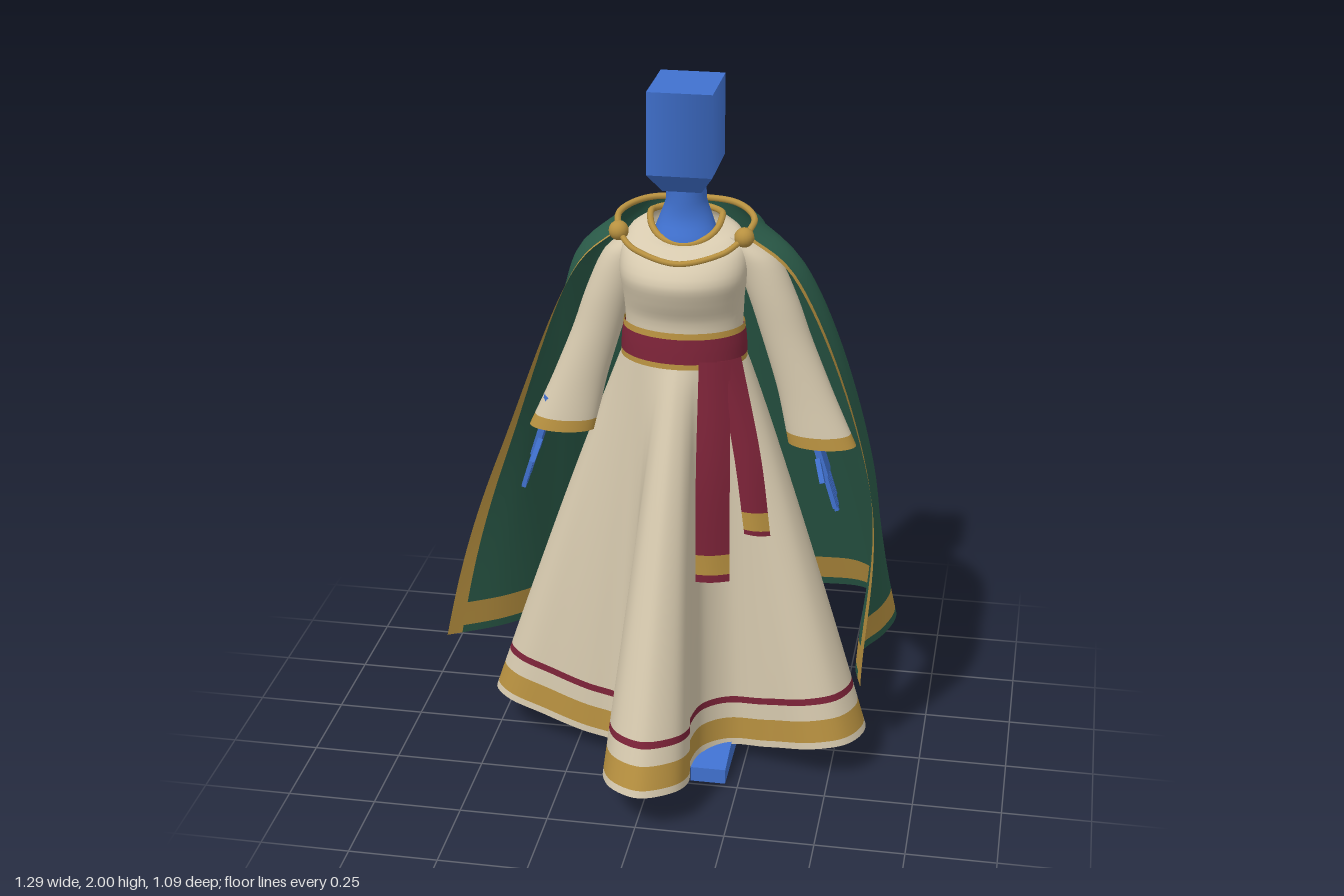
import * as THREE from 'three';

const V = (x, y, z) => new THREE.Vector3(x, y, z);
const mat = (name, color) => new THREE.MeshStandardMaterial({ name, color, side: THREE.DoubleSide });
const CX = 0.057; // middle line of the figure
const smooth = THREE.MathUtils.smoothstep;

// Values from a to b with every listed break hit exactly
function steps(breaks, n) {
  const out = [breaks[0]];
  for (let i = 1; i < breaks.length; i++) {
    const k = Math.max(1, Math.round((breaks[i] - breaks[i - 1]) * n));
    for (let j = 1; j <= k; j++) out.push(breaks[i - 1] + (breaks[i] - breaks[i - 1]) * j / k);
  }
  return out;
}

// Smooth grid surface from fn(u, v); pick(u, v) chooses the material of each cell
function surface(name, fn, us, vs, mats, pick = () => 0, closed = false) {
  const cols = closed ? us.length - 1 : us.length;
  const pos = [], cells = mats.map(() => []);
  for (const v of vs) for (let i = 0; i < cols; i++) pos.push(...fn(us[i], v).toArray());
  for (let j = 0; j < vs.length - 1; j++) {
    for (let i = 0; i < us.length - 1; i++) {
      const k = (i + 1) % cols, a = j * cols + i, b = j * cols + k;
      cells[pick((us[i] + us[i + 1]) / 2, (vs[j] + vs[j + 1]) / 2)].push(a, a + cols, b, b, a + cols, b + cols);
    }
  }
  const g = new THREE.BufferGeometry();
  g.setAttribute('position', new THREE.Float32BufferAttribute(pos, 3));
  g.setIndex(cells.flat());
  let start = 0;
  cells.forEach((c, m) => { g.addGroup(start, c.length, m); start += c.length; });
  g.computeVertexNormals();
  const mesh = new THREE.Mesh(g, mats);
  mesh.name = name;
  return mesh;
}

// Elliptical tube through rings of [y, cx, cz, rx, rz]
function ringFn(rings) {
  const c = new THREE.CatmullRomCurve3(rings.map(r => V(r[1], r[0], r[2])));
  const s = new THREE.CatmullRomCurve3(rings.map(r => V(r[3], r[4], 0)));
  return (u, v) => {
    const p = c.getPoint(v), r = s.getPoint(v), a = u * Math.PI * 2;
    return V(p.x + r.x * Math.sin(a), p.y, p.z + r.y * Math.cos(a));
  };
}

const curve = (pts, closed = false) =>
  new THREE.CatmullRomCurve3(pts.map(p => V(p[0], p[1], p[2])), closed, 'catmullrom', 0.5);
const flat = pts => pts.map(p => [p[0], 0, p[1]]);

export function createModel() {
  const model = new THREE.Group();
  const skin = mat('blue body', 0x4071cf), cream = mat('cream cloth', 0xd6c9ae);
  const green = mat('green cloth', 0x2a5a48), gold = mat('gold trim', 0xb89140);
  const wine = mat('wine sash', 0x7c2338);
  const add = (name, geo, m, x = 0, y = 0, z = 0, parent = model) => {
    const o = new THREE.Mesh(geo, m);
    o.name = name;
    o.position.set(x, y, z);
    parent.add(o);
    return o;
  };
  const tube = (name, pts, r, closed = false) =>
    add(name, new THREE.TubeGeometry(curve(pts, closed), 48, r, 8, closed), gold);
  const around = steps([0, 1], 48);

  // Softly shaded head block with tapered chin, and flared neck
  const block = (bottom, h) => new THREE.CylinderGeometry(Math.SQRT1_2, Math.SQRT1_2 * bottom, h, 4, 1)
    .rotateY(Math.PI / 4).scale(0.175, 1, 0.22);
  add('head', block(1, 0.225), skin, CX, 1.8875, 0.02);
  add('chin', block(0.6, 0.055), skin, CX, 1.7475, 0.02);
  model.add(surface('neck', ringFn([[1.74, CX, 0.012, 0.053, 0.058], [1.68, CX, 0.01, 0.055, 0.057],
    [1.63, CX, 0.01, 0.072, 0.06], [1.58, CX, 0.022, 0.09, 0.07], [1.52, CX, 0.025, 0.1, 0.08]]),
  around, steps([0, 1], 12), [skin], undefined, true));

  // Bodice with a dipping neckline
  const bodyRings = ringFn([[1.635, CX, 0.008, 0.098, 0.078], [1.605, CX, 0.012, 0.145, 0.094],
    [1.56, CX, 0.028, 0.172, 0.115], [1.49, CX, 0.052, 0.174, 0.143], [1.43, CX, 0.046, 0.166, 0.133],
    [1.37, CX, 0.036, 0.162, 0.117], [1.3, CX, 0.035, 0.16, 0.115], [1.22, CX, 0.035, 0.16, 0.115]]);
  const bodice = (u, v) => {
    const p = bodyRings(u, v);
    p.y -= 0.062 * Math.max(0, Math.cos(u * Math.PI * 2)) * Math.max(0, 1 - v * 3);
    return p;
  };
  model.add(surface('bodice', bodice, around, steps([0, 1], 28), [cream], undefined, true));
  tube('neckline trim', around.slice(0, -1).filter((_, i) => i % 3 === 0).map(u => bodice(u, 0).toArray()), 0.009, true);

  // Skirt: waist ellipse blended into a four-lobed hem
  const hem = curve(flat([[0.02, 0.545], [0.11, 0.49], [0.135, 0.4], [0.118, 0.28], [0.135, 0.17], [0.22, 0.11],
    [0.33, 0.14], [0.45, 0.19], [0.55, 0.165], [0.595, 0.06], [0.54, -0.06], [0.42, -0.12], [0.28, -0.13],
    [0.21, -0.2], [0.22, -0.35], [0.22, -0.47], [0.14, -0.54], [0.05, -0.5], [0, -0.35], [-0.05, -0.2],
    [-0.16, -0.13], [-0.32, -0.13], [-0.45, -0.09], [-0.51, 0], [-0.45, 0.08], [-0.33, 0.11], [-0.23, 0.13],
    [-0.13, 0.15], [-0.09, 0.22], [-0.1, 0.3], [-0.11, 0.4], [-0.07, 0.5]]), true);
  const skirt = (u, v) => {
    const a = u * Math.PI * 2 - 0.28 * Math.sin(u * Math.PI * 4), h = hem.getPoint(u % 1);
    const r = Math.hypot(h.x - 0.04, h.z);
    const bottom = 0.058 + 0.067 * smooth(r, 0.2, 0.55);
    const t = Math.pow(v, 0.92);
    const x = CX + 0.165 * Math.sin(a), z = 0.035 + 0.12 * Math.cos(a);
    return V(x + (h.x - x) * t, 1.27 + (bottom - 1.27) * v, z + (h.z - z) * t);
  };
  model.add(surface('skirt', skirt, steps([0, 1], 192), steps([0, 0.868, 0.885, 0.926, 0.983, 1], 24),
    [cream, wine, gold], (u, v) => (v > 0.868 && v < 0.885 ? 1 : v > 0.926 && v < 0.983 ? 2 : 0), true));

  // Belt with gold edges
  model.add(surface('belt', ringFn([[1.346, CX, 0.036, 0.166, 0.124], [1.295, CX, 0.036, 0.172, 0.13],
    [1.245, CX, 0.036, 0.174, 0.134]]), around, steps([0, 0.17, 0.85, 1], 10), [wine, gold],
  (u, v) => (v < 0.17 || v > 0.85 ? 1 : 0), true));

  // Hanging sash tails, each given as left and right edges from top to tip
  const tail = (name, l, r, g0, g1) => {
    const a = curve(l), b = curve(r);
    model.add(surface(name, (u, v) => {
      const p = a.getPoint(v).lerp(b.getPoint(v), u);
      p.z += 0.008 * Math.sin(u * Math.PI);
      return p;
    }, steps([0, 1], 6), steps([0, g0, g1, 1], 16), [wine, gold], (u, v) => (v > g0 && v < g1 ? 1 : 0)));
  };
  tail('long sash tail', [[0.118, 1.27, 0.165], [0.118, 0.95, 0.205], [0.118, 0.625, 0.2]],
    [[0.2, 1.27, 0.137], [0.208, 0.95, 0.18], [0.21, 0.625, 0.18]], 0.87, 0.965);
  tail('short sash tail', [[0.165, 1.27, 0.15], [0.218, 1.0, 0.17], [0.25, 0.775, 0.18]],
    [[0.224, 1.27, 0.105], [0.288, 1.0, 0.15], [0.32, 0.765, 0.16]], 0.85, 0.97);

  // Sleeves, hands, legs and feet on both sides
  const footShape = new THREE.Shape([[-0.05, 0], [0.235, 0], [0.235, 0.045], [0.15, 0.06], [0.05, 0.075],
    [-0.05, 0.06]].map(p => new THREE.Vector2(p[0], p[1])));
  const footGeo = new THREE.ExtrudeGeometry(footShape, { depth: 0.1, bevelEnabled: false });
  footGeo.translate(0, 0, -0.05).rotateY(-Math.PI / 2);
  for (const s of [1, -1]) {
    const side = s > 0 ? 'left' : 'right', x = d => 0.065 + (s + 0.035) * d;
    model.add(surface(side + ' sleeve', ringFn([[1.59, x(0.12), 0.012, 0.03, 0.045], [1.53, x(0.175), 0.014, 0.06, 0.058],
      [1.42, x(0.222), 0.014, 0.066, 0.06], [1.3, x(0.262), 0.014, 0.068, 0.058], [1.15, x(0.315), 0.022, 0.076, 0.054],
      [1.0, x(0.365), 0.036, 0.094, 0.052]]), around, steps([0, 0.955, 1], 24), [cream, gold],
    (u, v) => (v > 0.955 ? 1 : 0), true));

    const hand = new THREE.Group();
    hand.name = side + ' hand';
    hand.position.set(0.045 + s * 0.38, 1.02, 0.04);
    hand.rotation.z = s * 0.3;
    add('wrist', new THREE.CylinderGeometry(0.024, 0.018, 0.1, 10), skin, 0, 0.02, 0, hand);
    add('palm', new THREE.BoxGeometry(0.018, 0.1, 0.06), skin, 0, -0.06, 0, hand);
    for (let i = 0; i < 4; i++) {
      const len = [0.1, 0.115, 0.105, 0.08][i];
      add('finger', new THREE.BoxGeometry(0.012, len, 0.012), skin, 0, -0.11 - len / 2, 0.023 - i * 0.0155, hand);
    }
    add('thumb', new THREE.BoxGeometry(0.014, 0.07, 0.014), skin, -s * 0.006, -0.085, 0.042, hand).rotation.x = -0.45;
    model.add(hand);

    const fx = s > 0 ? 0.163 : -0.048, lx = s > 0 ? 0.152 : -0.036;
    add(side + ' foot', footGeo, skin, fx, 0, 0);
    add(side + ' leg', new THREE.CylinderGeometry(0.075, 0.038, 0.9, 16), skin, lx, 0.5, 0.005);
  }

  // Cape: neck line, shoulders, middle and wavy hem joined by smooth drops
  const neckLine = curve([[-0.115, 1.605, 0.085], [-0.125, 1.63, 0], [-0.06, 1.645, -0.08], [CX, 1.645, -0.105],
    [0.175, 1.645, -0.08], [0.24, 1.63, 0], [0.228, 1.605, 0.085]]);
  const shoulder = curve([[-0.225, 1.5, 0.08], [-0.25, 1.5, -0.03], [-0.16, 1.51, -0.115], [CX, 1.5, -0.135],
    [0.28, 1.51, -0.115], [0.375, 1.5, -0.03], [0.355, 1.5, 0.08]]);
  const capeHem = curve(flat([[-0.645, 0.045], [-0.5, -0.07], [-0.4, -0.2], [-0.385, -0.3], [-0.4, -0.39],
    [-0.35, -0.48], [-0.22, -0.545], [-0.1, -0.53], [0, -0.515], [0.15, -0.52], [0.3, -0.515], [0.42, -0.535],
    [0.53, -0.53], [0.62, -0.44], [0.64, -0.36], [0.61, -0.25], [0.56, -0.15], [0.55, -0.05], [0.575, 0.06]]));
  const cape = (u, v) => {
    const a = neckLine.getPoint(u), b = shoulder.getPoint(u), d = capeHem.getPoint(u);
    d.y = 0.255 + 0.045 * Math.pow(1 - u, 6) + 0.015 * Math.sin(u * Math.PI) ** 2;
    const c = b.clone().lerp(d, 0.5);
    c.x = CX + (c.x - CX) * (1.03 + 0.27 * smooth(u, 0.7, 0.95));
    c.z += 0.025 * smooth(u, 0.9, 1);
    const p = new THREE.CatmullRomCurve3([a, b, c, d]).getPoint(
      v < 0.14 ? v / 0.42 : 1 / 3 + (v - 0.14) / 0.86 * 2 / 3);
    p.x -= 0.025 * Math.pow(1 - u, 8) * Math.sin(Math.PI * v * v);
    return p;
  };
  model.add(surface('cape', cape, steps([0, 0.014, 0.975, 1], 120), steps([0, 0.14, 0.925, 0.982, 1], 36), [green, gold],
    (u, v) => (u < 0.014 || u > 0.975 || (v > 0.925 && v < 0.982) ? 1 : 0)));

  // Lowered hood: a pouch ending in a rounded, gold-edged point
  const hood = (u, v) => {
    const a = neckLine.getPoint(0.12 + 0.76 * u), k = Math.sin(u * Math.PI), side = Math.cos(u * Math.PI);
    const b = V(CX - 0.215 * side, 1.58 + 0.03 * k, -0.02 - 0.165 * k);
    const c = V(CX - 0.205 * side * (1 - 0.2 * k), 1.565 - 0.285 * Math.pow(k, 2.2), -0.045 - 0.178 * k);
    return new THREE.CatmullRomCurve3([a, b, c]).getPoint(v);
  };
  model.add(surface('hood', hood, steps([0, 1], 48), steps([0, 0.88, 1], 20), [green, gold],
    (u, v) => (v > 0.88 ? 1 : 0)));

  // Collar trim, front cord and round clasps
  tube('collar trim', neckLine.getPoints(14).map(p => p.toArray()), 0.009);
  tube('front cord', [[-0.115, 1.605, 0.09], [-0.06, 1.57, 0.138], [CX, 1.548, 0.17], [0.17, 1.57, 0.138],
    [0.228, 1.605, 0.09]], 0.008);
  for (const x of [-0.113, 0.226]) add('clasp', new THREE.SphereGeometry(0.027, 16, 12), gold, x, 1.605, 0.09);

  return model;
}
